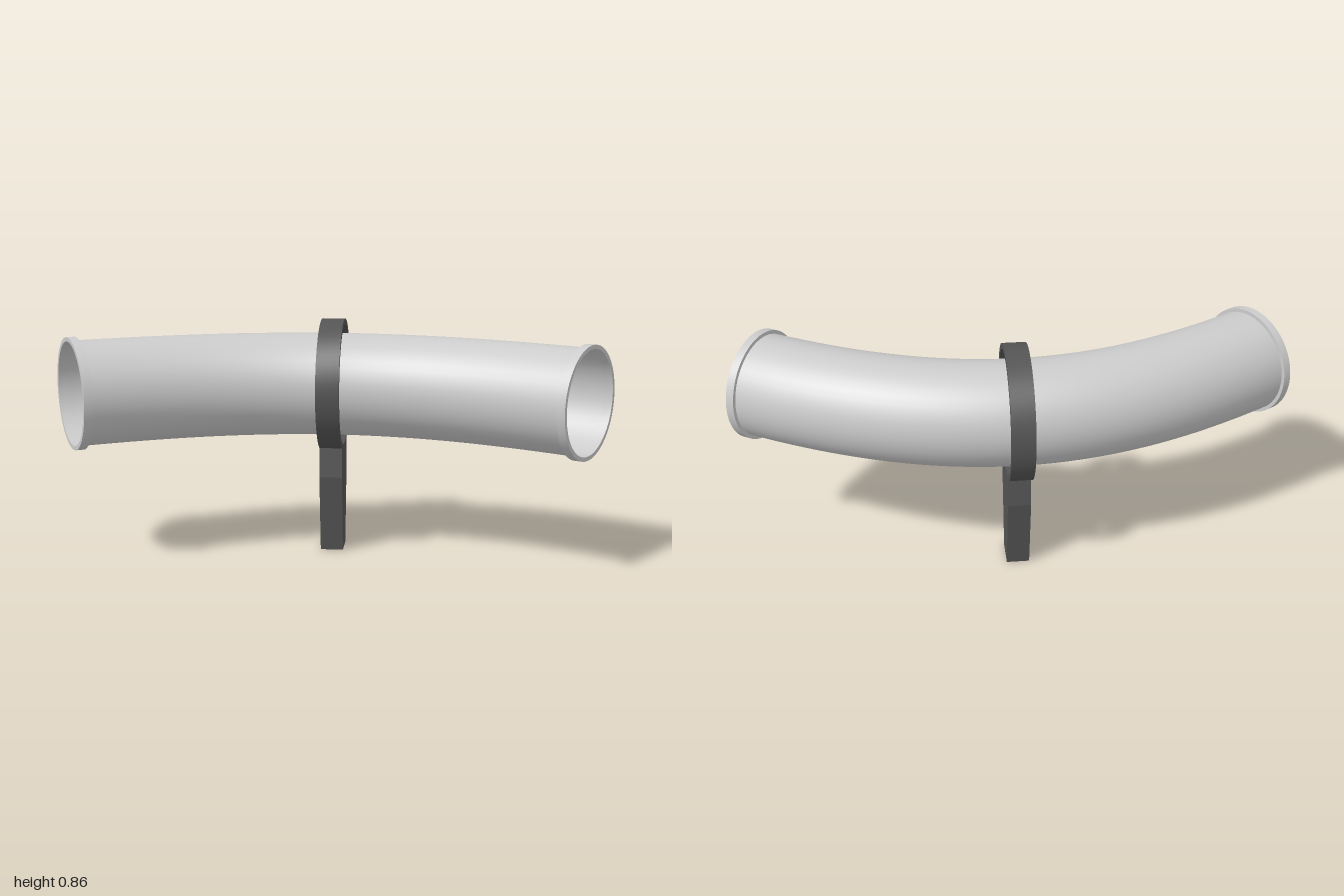
import * as THREE from 'three';
import { toCreasedNormals } from 'three/addons/utils/BufferGeometryUtils.js';

const PIPE_R = 0.187, AXIS_Y = 0.62, MID_Z = -0.11, END_X = 0.891, END_Z = 0.17;
const BEND = Math.PI / 6; // pipe direction at its ends

// Flat hoop of rectangular section around the z axis, centred on the origin
function hoop(inner, outer, depth, segments) {
  const shape = new THREE.Shape().absarc(0, 0, outer, 0, Math.PI * 2);
  shape.holes.push(new THREE.Path().absarc(0, 0, inner, 0, Math.PI * 2, true));
  const geo = new THREE.ExtrudeGeometry(shape, { depth, bevelEnabled: false, curveSegments: segments });
  geo.translate(0, 0, -depth / 2);
  return toCreasedNormals(geo, 0.6);
}

export function createModel() {
  const group = new THREE.Group();
  const grey = new THREE.MeshStandardMaterial({ color: 0xcccccc, side: THREE.DoubleSide });
  const dark = new THREE.MeshStandardMaterial({ color: 0x555555 });

  const add = (name, geo, mat, x, y, z, turn = 0) => {
    const mesh = new THREE.Mesh(geo, mat);
    mesh.name = name;
    mesh.position.set(x, y, z);
    mesh.rotation.y = turn;
    group.add(mesh);
  };

  // Thin open pipe, bent in the horizontal plane
  const reach = 0.654;
  const ctrlX = END_X - reach, ctrlZ = END_Z - reach * Math.tan(BEND);
  const path = new THREE.CubicBezierCurve3(
    new THREE.Vector3(-END_X, 0, END_Z),
    new THREE.Vector3(-ctrlX, 0, ctrlZ),
    new THREE.Vector3(ctrlX, 0, ctrlZ),
    new THREE.Vector3(END_X, 0, END_Z)
  );
  add('pipe', new THREE.TubeGeometry(path, 48, PIPE_R, 40, false), grey, 0, AXIS_Y, 0);

  // Lips around both pipe ends
  const lip = hoop(PIPE_R - 0.002, 0.2, 0.03, 40);
  for (const [name, s] of [['leftRim', 1], ['rightRim', -1]]) {
    add(name, lip, grey, s * END_X, AXIS_Y, END_Z, s * (Math.PI / 2 - BEND));
  }

  // Support ring around the middle of the pipe
  const width = 0.083;
  add('supportRing', hoop(0.22, 0.24, width, 40), dark, 0, AXIS_Y, MID_Z, Math.PI / 2);

  // Tapered post, its top edge cut to the curve of the ring
  const post = new THREE.Shape();
  post.moveTo(-0.053, 0).lineTo(0.053, 0).lineTo(0.101, 0.29).lineTo(0.092, 0.4);
  for (let i = 1; i <= 8; i++) {
    const x = 0.092 - 0.184 * i / 8;
    post.lineTo(x, AXIS_Y - Math.sqrt(0.238 ** 2 - x * x));
  }
  post.lineTo(-0.101, 0.29);
  const postGeo = new THREE.ExtrudeGeometry(post, { depth: width, bevelEnabled: false });
  postGeo.translate(0, 0, -width / 2);
  add('supportPost', postGeo, dark, 0, 0, MID_Z, Math.PI / 2);

  return group;
}
